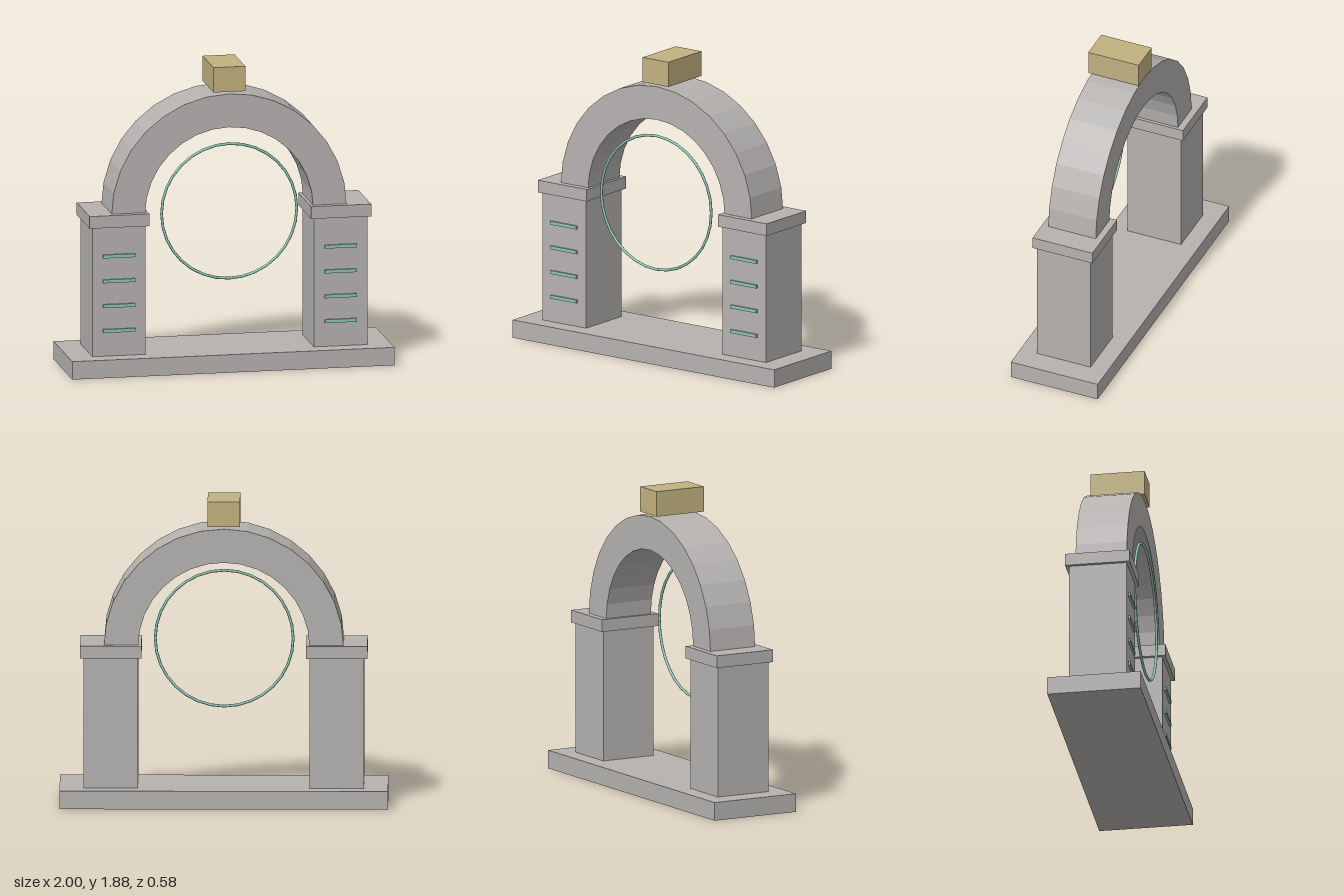
import * as THREE from 'three';

const stone = new THREE.MeshStandardMaterial({ color: 0xb5b2b0 });
stone.name = 'grey stone';
const sand = new THREE.MeshStandardMaterial({ color: 0xc2b280 });
sand.name = 'sand stone';
const teal = new THREE.MeshStandardMaterial({ color: 0x8fc4b4 });
teal.name = 'pale teal';

const SPRING_Y = 0.98; // centre height of the arch and ring

export function createModel() {
  const group = new THREE.Group();

  const add = (name, geometry, material, x, y, z, parent = group) => {
    const mesh = new THREE.Mesh(geometry, material);
    mesh.name = name;
    mesh.position.set(x, y, z);
    parent.add(mesh);
    return mesh;
  };
  // Box given by its bottom and top heights
  const block = (name, material, x, y0, y1, width, depth, parent) =>
    add(name, new THREE.BoxGeometry(width, y1 - y0, depth), material, x, (y0 + y1) / 2, 0, parent);

  block('base', stone, 0, 0, 0.112, 2, 0.576);

  // Pillars with caps and four inlaid strips on the front
  for (const [side, s] of [['left', 1], ['right', -1]]) {
    const pillar = new THREE.Group();
    pillar.name = side + 'Pillar';
    pillar.position.x = s * 0.688;
    group.add(pillar);
    block('shaft', stone, 0, 0.112, 0.916, 0.332, 0.355, pillar);
    block('cap', stone, 0, 0.916, 0.992, 0.373, 0.397, pillar);
    for (let i = 0; i < 4; i++) {
      add('strip', new THREE.BoxGeometry(0.198, 0.021, 0.02), teal, 0, 0.27 + i * 0.155, 0.18, pillar);
    }
  }

  // Half-round arch, faceted in sixteen steps
  const shape = new THREE.Shape();
  shape.absarc(0, 0, 0.73, 0, Math.PI, false);
  shape.absarc(0, 0, 0.522, Math.PI, 0, true);
  shape.closePath();
  const arch = new THREE.ExtrudeGeometry(shape, { depth: 0.315, curveSegments: 8, bevelEnabled: false });
  arch.translate(0, 0, -0.1575);
  add('arch', arch, stone, 0, SPRING_Y, 0);

  block('keystone', sand, 0, 1.725, 1.88, 0.198, 0.335);

  // Thin ring hanging in the opening, near the front
  add('ring', new THREE.TorusGeometry(0.42, 0.0085, 8, 32), teal, 0, SPRING_Y, 0.158);

  return group;
}
